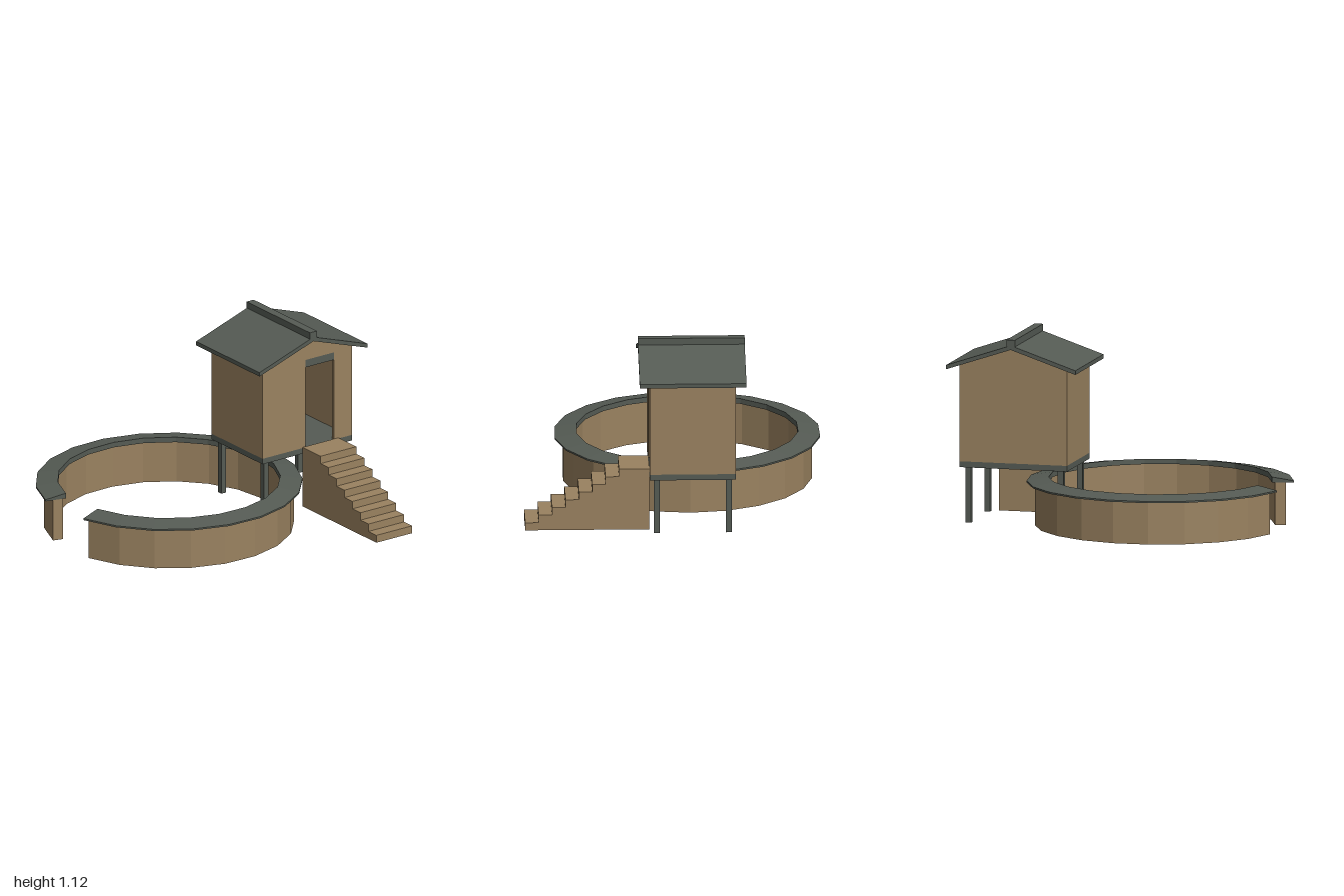
import * as THREE from 'three';
import { mergeGeometries } from 'three/addons/utils/BufferGeometryUtils.js';

const HUT_X = -0.105, HUT_Z = -0.602;

export function createModel() {
  const model = new THREE.Group();
  const wood = new THREE.MeshStandardMaterial({ color: 0x9a8260 });
  wood.name = 'wood';
  const slate = new THREE.MeshStandardMaterial({ color: 0x555b54 });
  slate.name = 'slate';

  const add = (name, geometry, material) => {
    const mesh = new THREE.Mesh(geometry, material);
    mesh.name = name;
    model.add(mesh);
    return mesh;
  };

  // Box given by its limits on each axis
  const box = (name, material, [x0, x1], [y0, y1], [z0, z1]) =>
    add(name, new THREE.BoxGeometry(x1 - x0, y1 - y0, z1 - z0), material)
      .position.set((x0 + x1) / 2, (y0 + y1) / 2, (z0 + z1) / 2);

  const shapeOf = (points) => new THREE.Shape(points.map(([x, y]) => new THREE.Vector2(x, y)));

  // Outline in (z, y), extruded along x from x0 to x1
  const extrudeX = (name, material, points, x0, x1) => {
    const geometry = new THREE.ExtrudeGeometry(shapeOf(points), { depth: x1 - x0, bevelEnabled: false });
    geometry.rotateY(-Math.PI / 2);
    add(name, geometry, material).position.x = x1;
  };

  // Open faceted ring: closed (radius, y) profile swept round, with flat ends
  const gap = THREE.MathUtils.degToRad(13.8);
  const ring = (name, material, profile) => {
    const loop = [...profile, profile[0]].map(([r, y]) => new THREE.Vector2(r, y));
    const sweep = new THREE.LatheGeometry(loop, 20, gap, Math.PI * 2 - gap * 2).toNonIndexed();
    const end = (phi, flip) => {
      const g = new THREE.ShapeGeometry(shapeOf(profile));
      if (flip) g.setIndex(Array.from(g.index.array).reverse());
      return g.rotateY(phi - Math.PI / 2).toNonIndexed();
    };
    const geometry = mergeGeometries([sweep, end(gap, false), end(Math.PI * 2 - gap, true)]);
    geometry.computeVertexNormals();
    add(name, geometry, material).position.set(-0.1025, 0, 0.23);
  };

  // Round enclosure with a sloping coping on top
  ring('enclosureWall', wood, [[0.68, 0], [0.743, 0], [0.743, 0.256], [0.68, 0.256]]);
  ring('enclosureCoping', slate, [[0.661, 0.256], [0.792, 0.256], [0.792, 0.266], [0.661, 0.288]]);

  // Legs and floor
  for (const sx of [-1, 1]) {
    for (const sz of [-1, 1]) {
      const x = HUT_X + sx * 0.213, z = HUT_Z + sz * 0.283;
      box('leg', slate, [x - 0.017, x + 0.017], [0, 0.335], [z - 0.017, z + 0.017]);
    }
  }
  const x0 = -0.36, x1 = 0.15, z0 = -0.931, z1 = -0.273, t = 0.02;
  box('floor', slate, [x0, x1], [0.335, 0.37], [z0, z1]);

  // Hollow hut walls; the left gable has a doorway
  const eave = 0.95, apex = 1.061, base = 0.37;
  box('frontWall', wood, [x0 + t, x1 - t], [base, eave], [z1 - t, z1]);
  box('backWall', wood, [x0 + t, x1 - t], [base, eave], [z0, z0 + t]);
  const gableTop = [[z1, base], [z1, eave], [HUT_Z, apex], [z0, eave], [z0, base]];
  extrudeX('rightGable', wood, gableTop, x0, x0 + t);
  const d0 = -0.80, d1 = -0.59, doorTop = 0.925;
  extrudeX('doorGable', wood,
    [...gableTop, [d0, base], [d0, doorTop], [d1, doorTop], [d1, base]], x1 - t, x1);
  box('doorLintel', slate, [x1 - t, x1], [0.878, doorTop], [d0, d1]);

  // Pitched roof and ridge cap
  const half = 0.397;
  extrudeX('roof', slate, [
    [HUT_Z + half, 0.928], [HUT_Z + half, 0.953], [HUT_Z, 1.087],
    [HUT_Z - half, 0.953], [HUT_Z - half, 0.928], [HUT_Z, 1.061],
  ], -0.42, 0.212);
  box('ridgeCap', slate, [-0.42, 0.212], [1.08, 1.12], [HUT_Z - 0.026, HUT_Z + 0.026]);

  // Solid staircase: one outline in (x, y), extruded across its width
  const steps = 8, rise = 0.375 / steps, run = 0.0795;
  const outline = [[0.15, 0], [0.15, 0.375]];
  for (let i = 0; i < steps; i++) {
    const x = 0.33 + i * run;
    outline.push([x, 0.375 - i * rise], [x, 0.375 - (i + 1) * rise]);
  }
  const stairs = new THREE.ExtrudeGeometry(shapeOf(outline), { depth: 0.263, bevelEnabled: false });
  add('stairs', stairs, wood).position.z = -0.83;

  return model;
}
